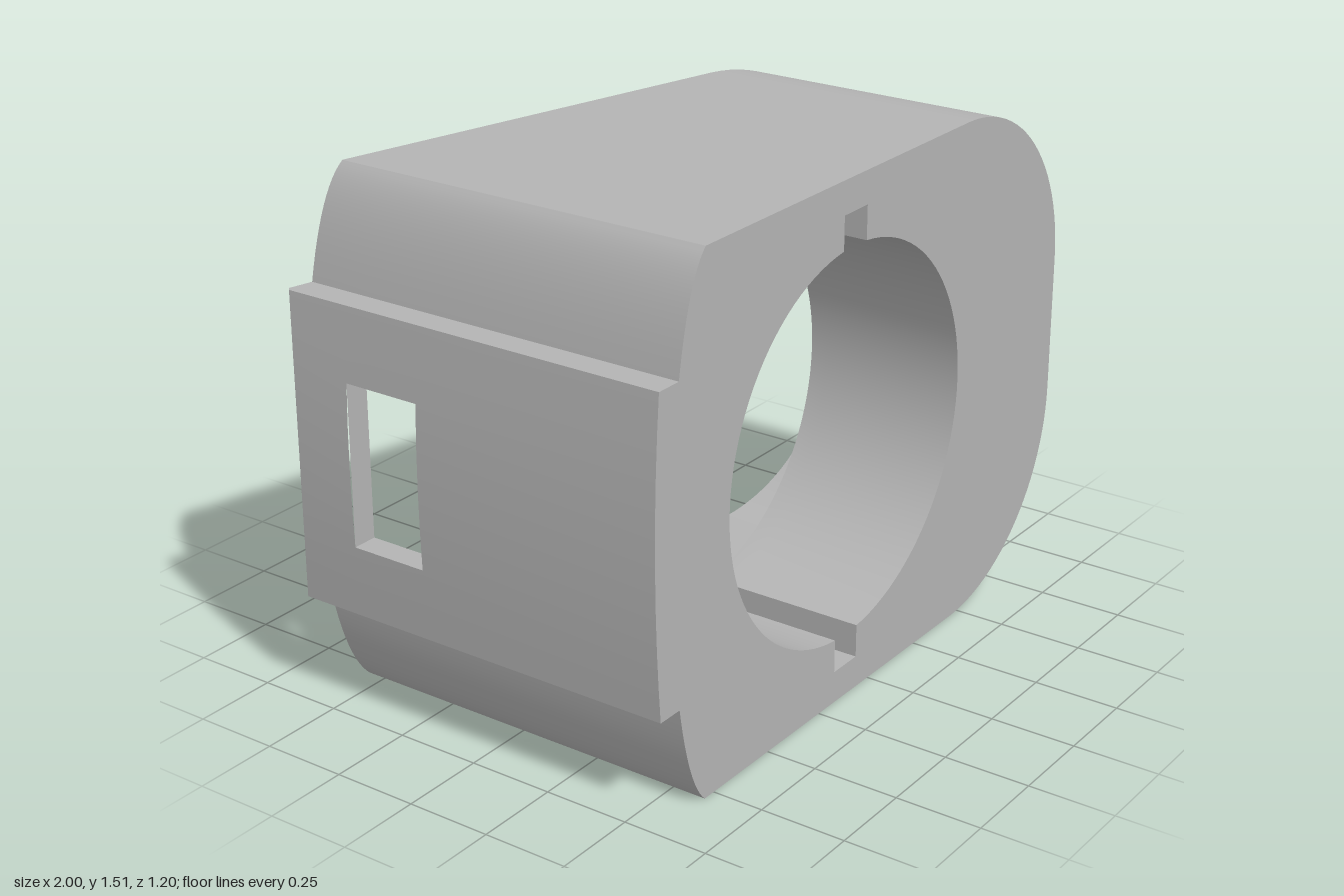
import * as THREE from 'three';
import { toCreasedNormals } from 'three/addons/utils/BufferGeometryUtils.js';

const MID = 0.755;                 // height of the symmetry plane; outlines are drawn around it
const FRONT = 0.6, FLOOR = 0.11;   // front face and cavity floor
const WIN = { v: 0.235, z0: -0.155, z1: -0.39 };
const RECESS_X = -0.92, EDGE_X = -0.97;

const V2 = (x, y) => new THREE.Vector2(x, y);
const cut = (x) => -0.127 - 0.24 * (1 - x);                        // slanted back plane
const outerBack = (x) => cut(Math.max(x, EDGE_X)) + Math.max(0, EDGE_X - x);
const sideX = (v) => -1 + 0.02 * (v / 0.445) ** 2;                 // bowed side panel

// Upper half of an outline, right to left, then mirrored below
function mirrored(half) {
  const lower = half.filter((p) => p.y > 1e-6).reverse().map((p) => V2(p.x, -p.y));
  return [...half, ...lower];
}

function corner(r) {
  const pts = [];
  for (let i = 0; i <= 24; i++) {
    const a = (i / 24) * Math.PI / 2;
    pts.push(V2(0.45 + r * Math.cos(a), 0.205 + r * Math.sin(a)));
  }
  return pts;
}

const bend = (a, b, c) => new THREE.QuadraticBezierCurve(V2(...a), V2(...b), V2(...c)).getPoints(12);

function outerOutline() {
  return mirrored([
    ...corner(0.55),
    ...bend([-0.79, 0.755], [-0.86, 0.69], [-0.9, 0.445]),
    ...[0.445, 0.34, WIN.v, 0.12, 0].map((v) => V2(sideX(v), v)),
  ]);
}

function innerOutline() {
  return mirrored([
    ...corner(0.485),
    ...bend([-0.75, 0.69], [-0.80, 0.62], [-0.83, 0.375]),
    V2(RECESS_X, 0.375), V2(RECESS_X, WIN.v),
  ]);
}

// Round opening with a slot of half width w above and below
function openingOutline(w) {
  const r = 0.565, cx = -0.12, slot = 0.66, n = 48, a = Math.asin(w / r), pts = [];
  for (const s of [1, -1]) {
    for (let i = 0; i <= n; i++) {
      const t = -Math.PI / 2 + a + (i / n) * (Math.PI - 2 * a);
      pts.push(V2(cx + s * r * Math.cos(t), s * r * Math.sin(t)));
    }
    pts.push(V2(cx + s * w, s * slot), V2(cx - s * w, s * slot));
  }
  return pts;
}

const ring = (pts, z) => pts.map((p) => new THREE.Vector3(p.x, p.y, typeof z === 'function' ? z(p.x) : z));

// Skin between closed rings; skip(a, b) leaves a quad open
function loft(rings, skip = () => false) {
  const pos = [];
  const tri = (a, b, c) => {
    const n = b.clone().sub(a).cross(c.clone().sub(a));
    if (n.length() > 1e-9) for (const p of [a, b, c]) pos.push(p.x, p.y, p.z);
  };
  for (let k = 0; k < rings.length - 1; k++) {
    const A = rings[k], B = rings[k + 1];
    for (let i = 0; i < A.length; i++) {
      const j = (i + 1) % A.length;
      if (skip(k, A[i], A[j])) continue;
      tri(A[i], B[i], A[j]);
      tri(A[j], B[i], B[j]);
    }
  }
  const g = new THREE.BufferGeometry();
  g.setAttribute('position', new THREE.Float32BufferAttribute(pos, 3));
  return toCreasedNormals(g, 0.5);
}

// Flat face with a hole, placed at depth z(x), facing front or back
function plate(outline, hole, z, back) {
  const shape = new THREE.Shape(outline);
  shape.holes.push(new THREE.Path(hole));
  let g = new THREE.ShapeGeometry(shape);
  const p = g.attributes.position;
  for (let i = 0; i < p.count; i++) p.setZ(i, z(p.getX(i)));
  if (back) g.setIndex(Array.from(g.index.array).reverse());
  g = g.toNonIndexed();
  g.computeVertexNormals();
  return g;
}

export function createModel() {
  const group = new THREE.Group();
  group.name = 'housing';
  const grey = new THREE.MeshStandardMaterial({ color: 0xb4b4b4 });
  grey.name = 'grey';
  const add = (name, geometry) => {
    const mesh = new THREE.Mesh(geometry, grey);
    mesh.name = name;
    mesh.position.y = MID;
    group.add(mesh);
  };

  const outer = outerOutline(), inner = innerOutline();
  const slot = openingOutline(0.055), flare = openingOutline(0.135);
  const rim = outer.map((p) => V2(Math.max(p.x, EDGE_X), p.y));
  const inWindow = (a, b) => a.x < -0.91 && b.x < -0.91
    && Math.abs(a.y) < WIN.v + 1e-4 && Math.abs(b.y) < WIN.v + 1e-4;
  const bands = (pts, front, back) => [
    ring(pts, front),
    ring(pts, (x) => Math.max(WIN.z0, back(x))),
    ring(pts, (x) => Math.max(WIN.z1, back(x))),
    ring(pts, back),
  ];

  // Outer shell with its bevelled back edge, and the cavity wall
  add('outerWall', loft([...bands(outer, FRONT, outerBack), ring(rim, cut)],
    (k, a, b) => k === 1 && inWindow(a, b)));
  add('cavityWall', loft(bands(inner, FLOOR, cut).reverse(),
    (k, a, b) => k === 1 && inWindow(a, b)));

  // Faces
  add('frontFace', plate(outer, slot, () => FRONT, false));
  add('cavityFloor', plate(inner, flare, () => FLOOR, true));
  add('backRim', plate(rim, inner, cut, true));

  // Round opening, its slots flaring out at the back
  add('openingWall', loft([ring(flare, FLOOR), ring(slot, FLOOR + 0.053), ring(slot, FRONT)]));

  // Window through the side panel
  const rect = (x) => [[WIN.z1, -1], [WIN.z0, -1], [WIN.z0, 1], [WIN.z1, 1]]
    .map(([z, s]) => new THREE.Vector3(x, s * WIN.v, z));
  add('windowFrame', loft([rect(RECESS_X), rect(sideX(WIN.v))]));

  return group;
}
